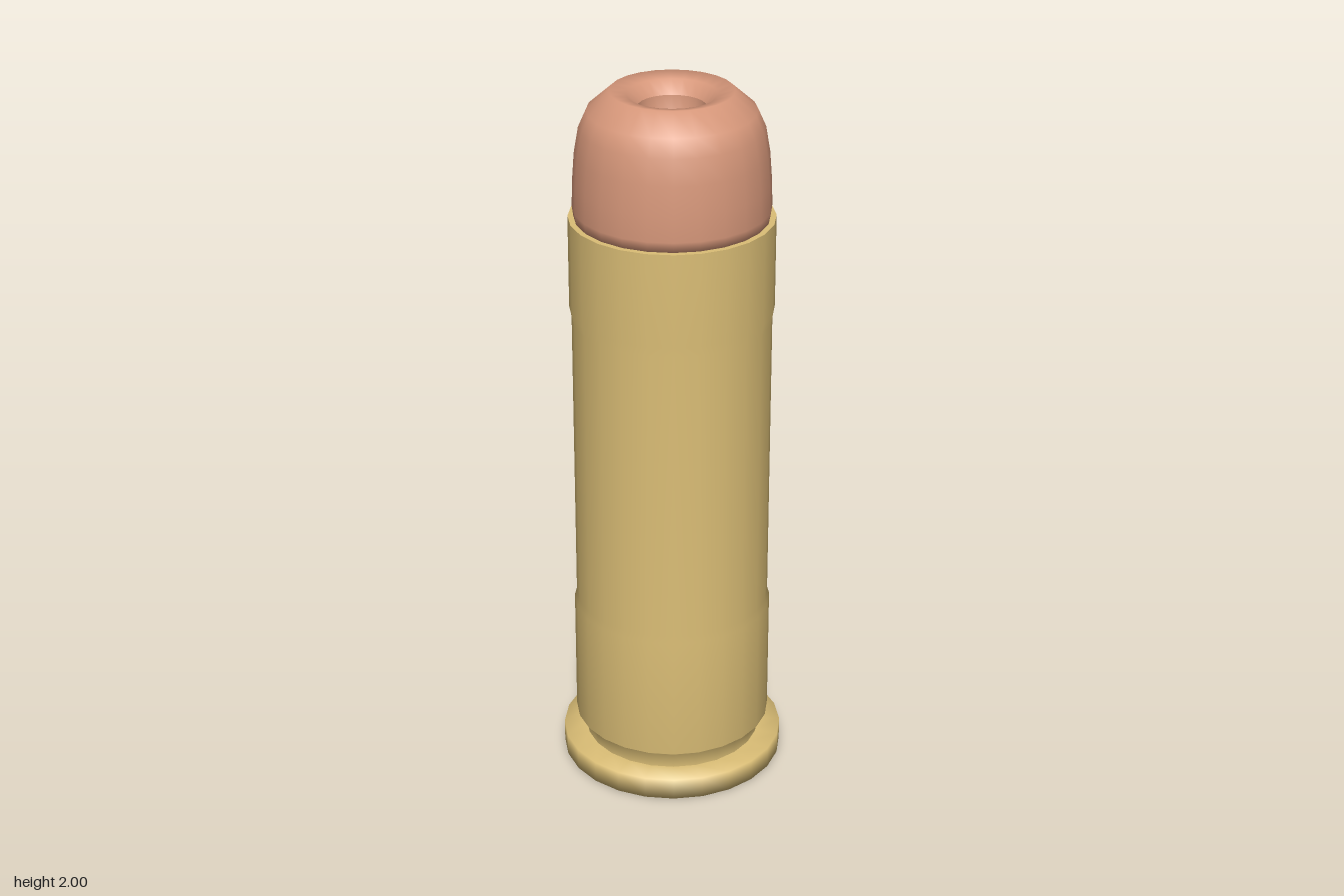
import * as THREE from 'three';

const SIDES = 24;

// Smooth turned part from a profile of [radius, height] pairs, listed from bottom to top
function turned(name, material, profile) {
  const points = profile.map(([r, y]) => new THREE.Vector2(r, y));
  const mesh = new THREE.Mesh(new THREE.LatheGeometry(points, SIDES), material);
  mesh.name = name;
  return mesh;
}

export function createModel() {
  const brass = new THREE.MeshStandardMaterial({ color: 0xdbbe76 });
  brass.name = 'brass';
  const copper = new THREE.MeshStandardMaterial({ color: 0xd6977a });
  copper.name = 'copper';

  const model = new THREE.Group();
  model.name = 'cartridge';
  model.add(
    // Wide rim with its closed base
    turned('rim', brass, [[0, 0], [0.315, 0], [0.315, 0.062], [0.25, 0.064]]),
    // Extractor groove and the body, slightly slimmer in the middle
    turned('caseBody', brass, [
      [0.25, 0.062], [0.25, 0.105], [0.278, 0.125], [0.278, 0.49], [0.272, 0.51],
      [0.272, 1.36], [0.278, 1.39], [0.278, 1.652],
    ]),
    // Thin flat mouth of the case
    turned('caseMouth', brass, [[0.278, 1.652], [0.255, 1.652]]),
    // Rounded nose, rolling over its top edge into the hollow
    turned('bullet', copper, [
      [0.23, 1.64], [0.262, 1.65], [0.266, 1.68], [0.264, 1.75], [0.258, 1.83],
      [0.246, 1.9], [0.225, 1.947], [0.165, 2], [0.12, 1.99], [0.091, 1.955],
    ]),
    // Bowl-shaped hollow in the tip
    turned('hollow', copper, [[0.091, 1.955], [0.085, 1.9], [0.06, 1.86], [0, 1.845]]),
  );
  return model;
}
